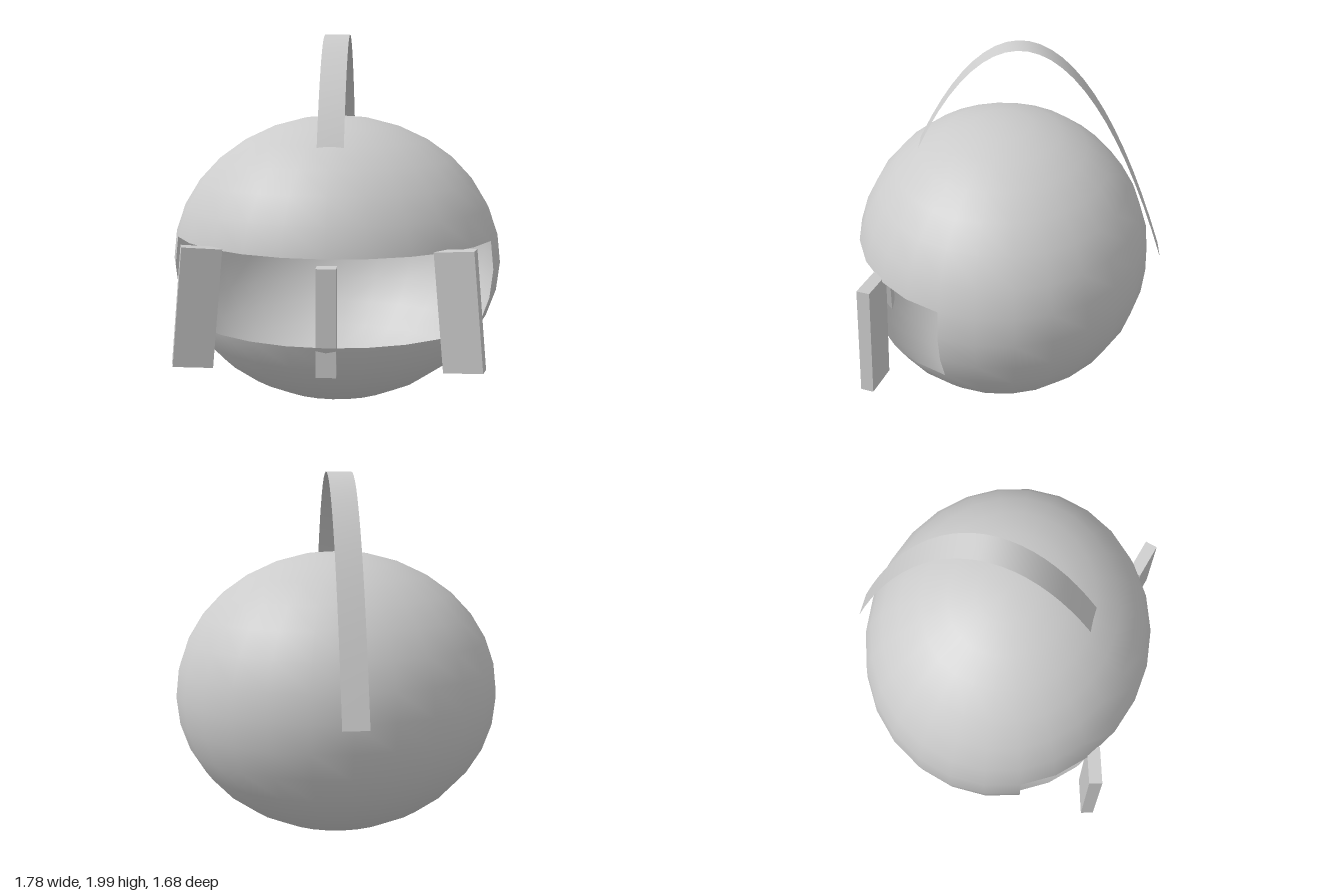
import * as THREE from 'three';

export function createModel() {
  const model = new THREE.Group();
  const solid = new THREE.MeshStandardMaterial({ color: 0xcccccc });
  const thin = new THREE.MeshStandardMaterial({ color: 0xcccccc, side: THREE.DoubleSide });

  const add = (name, geometry, material, parent = model) => {
    const mesh = new THREE.Mesh(geometry, material);
    mesh.name = name;
    parent.add(mesh);
    return mesh;
  };

  // Helmet shell: an ellipsoid of 26 x 16 facets with a face opening left out
  const shell = new THREE.Group();
  shell.name = 'shell';
  shell.position.set(0, 0.79, 0.04);
  shell.scale.set(0.897, 0.78, 0.811);
  model.add(shell);
  const column = (Math.PI * 2) / 26;
  const row = Math.PI / 16;
  const addZone = (name, firstRow, rows, skip) => {
    const columns = 26 - skip * 2;
    add(name, new THREE.SphereGeometry(1, columns, rows,
      Math.PI / 2 + skip * column, columns * column, firstRow * row, rows * row), thin, shell);
  };
  addZone('shellTop', 0, 7, 0);
  addZone('shellBand', 7, 3, 5);
  addZone('shellBottom', 10, 6, 0);

  // Crest: a thin strip bent along a parabola, from inside the brow to the back
  const crest = new THREE.PlaneGeometry(0.136, 1, 1, 24);
  const p = crest.attributes.position;
  for (let i = 0; i < p.count; i++) {
    const z = THREE.MathUtils.lerp(-0.84, 0.54, 0.5 - p.getY(i));
    p.setY(i, 2 - 1.955 * (z + 0.05) ** 2);
    p.setZ(i, z);
  }
  crest.computeVertexNormals();
  add('crest', crest, thin);

  // Face guard: one middle bar and two leaning side bars
  add('middleBar', new THREE.BoxGeometry(0.1, 0.545, 0.075), solid).position.set(0, 0.608, 0.735);
  for (const side of [-1, 1]) {
    const bar = add(side > 0 ? 'leftBar' : 'rightBar', new THREE.BoxGeometry(0.2, 0.605, 0.07), solid);
    bar.position.set(side * 0.65, 0.66, 0.687);
    bar.rotation.set(0, -side * 0.28, side * 0.096);
  }

  return model;
}
